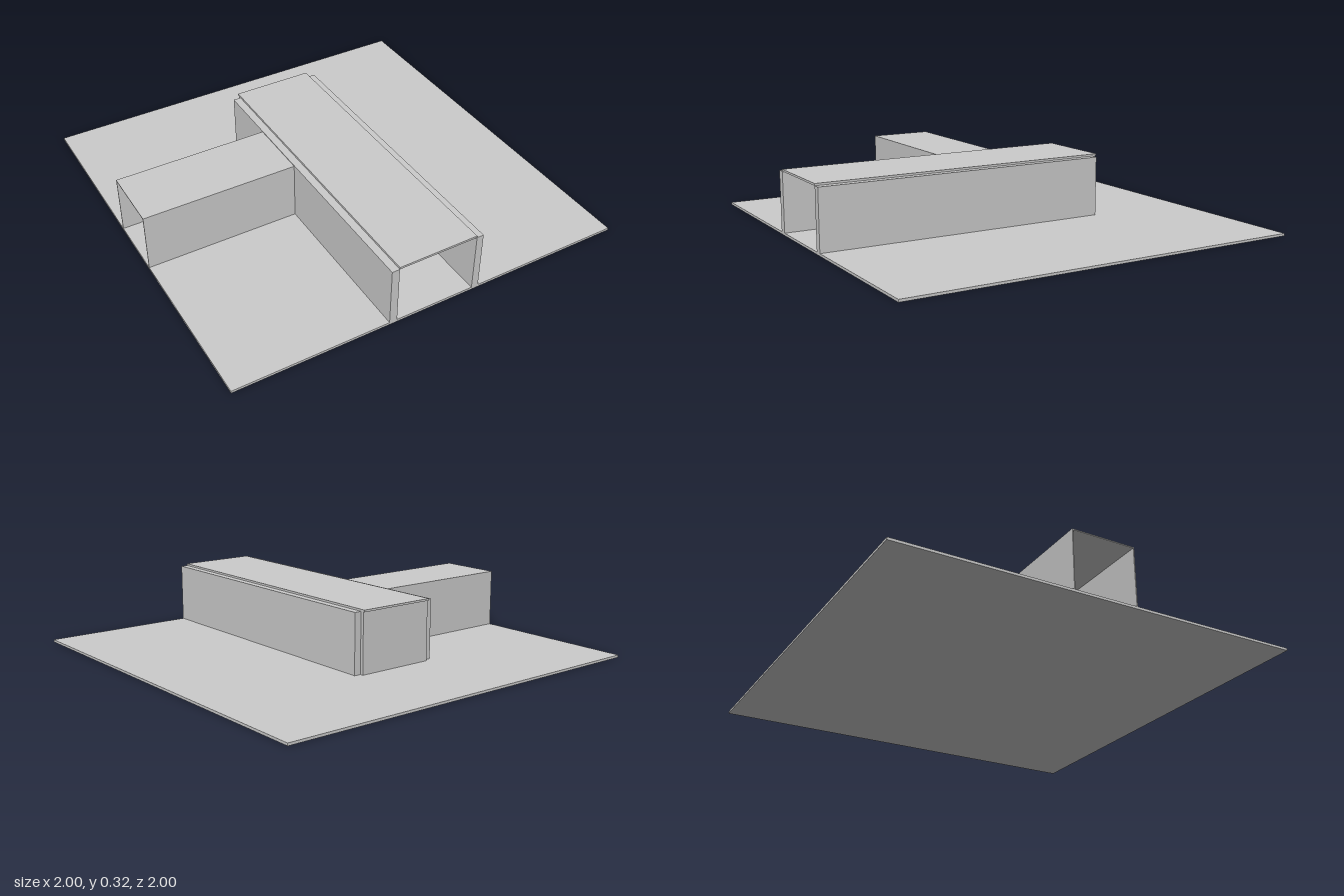
import * as THREE from 'three';

const material = new THREE.MeshStandardMaterial({ color: 0xcccccc });

function add(parent, name, geometry, x = 0, y = 0, z = 0) {
  const mesh = new THREE.Mesh(geometry, material);
  mesh.name = name;
  mesh.position.set(x, y, z);
  parent.add(mesh);
  return mesh;
}

// Box given by its limits on each axis
function slab(parent, name, [x0, x1], [y0, y1], [z0, z1]) {
  return add(parent, name, new THREE.BoxGeometry(x1 - x0, y1 - y0, z1 - z0),
    (x0 + x1) / 2, (y0 + y1) / 2, (z0 + z1) / 2);
}

// Small stand: splayed feet, a post and a crossbar with raised tips
function createStand(x, z) {
  const stand = new THREE.Group();
  stand.name = 'stand';
  add(stand, 'standPost', new THREE.CylinderGeometry(0.004, 0.004, 0.05, 8), 0, 0.037, 0);
  add(stand, 'standCrossbar', new THREE.BoxGeometry(0.046, 0.006, 0.012), 0, 0.062, 0);
  for (const side of [-1, 1]) {
    add(stand, 'crossbarTip', new THREE.BoxGeometry(0.008, 0.012, 0.014), side * 0.021, 0.064, 0);
  }
  for (let i = 0; i < 3; i++) {
    const leg = new THREE.Group();
    leg.name = 'standLeg';
    leg.rotation.y = Math.PI / 6 + i * Math.PI * 2 / 3;
    add(leg, 'standFoot', new THREE.BoxGeometry(0.026, 0.005, 0.006), 0.009, 0.009, 0).rotation.z = -0.6;
    stand.add(leg);
  }
  stand.position.set(x, 0.012, z);
  return stand;
}

export function createModel() {
  const model = new THREE.Group();
  model.name = 'corridorJunction';
  const floorTop = 0.012, wallTop = 0.306;
  const wallY = [floorTop, wallTop];

  slab(model, 'ground', [-1, 1], [0, floorTop], [-1, 1]);

  // Main corridor, with a gap in one wall for the side passage
  slab(model, 'mainWall', [0.195, 0.23], wallY, [-0.475, 1]);
  slab(model, 'mainWallFront', [-0.24, -0.202], wallY, [0.16, 1]);
  slab(model, 'mainWallBack', [-0.24, -0.202], wallY, [-0.475, -0.16]);
  slab(model, 'endWall', [-0.202, 0.195], wallY, [-0.492, -0.47]);
  slab(model, 'mainRoof', [-0.202, 0.195], [wallTop, 0.316], [-0.5, 1]);
  slab(model, 'lintel', [-0.24, -0.202], [0.3, wallTop], [-0.16, 0.16]);

  // Side passage, open at its outer end
  for (const side of [-1, 1]) {
    const a = side * 0.16, b = side * 0.155;
    slab(model, 'passageWall', [-1, -0.24], [floorTop, 0.297], [Math.min(a, b), Math.max(a, b)]);
  }
  slab(model, 'passageRoof', [-1, -0.24], [0.297, 0.302], [-0.16, 0.16]);

  // Thin rods across the corridor and their wall fittings
  for (const y of [0.105, 0.147]) {
    const rod = add(model, 'crossRod', new THREE.CylinderGeometry(0.0015, 0.0015, 0.397, 6), -0.0035, y, 0.79);
    rod.rotation.z = Math.PI / 2;
  }
  slab(model, 'wallFitting', [-0.202, -0.182], [0.062, 0.1], [0.78, 0.8]);

  // Floating balls
  for (const [x, y, z, r] of [[0.003, 0.232, 0, 0.027], [-0.127, 0.15, 0.1, 0.025], [0.152, 0.15, 0.1, 0.029]]) {
    add(model, 'ball', new THREE.SphereGeometry(r, 24, 16), x, y, z);
  }

  for (const x of [-0.09, 0.105]) model.add(createStand(x, -0.3));
  return model;
}
